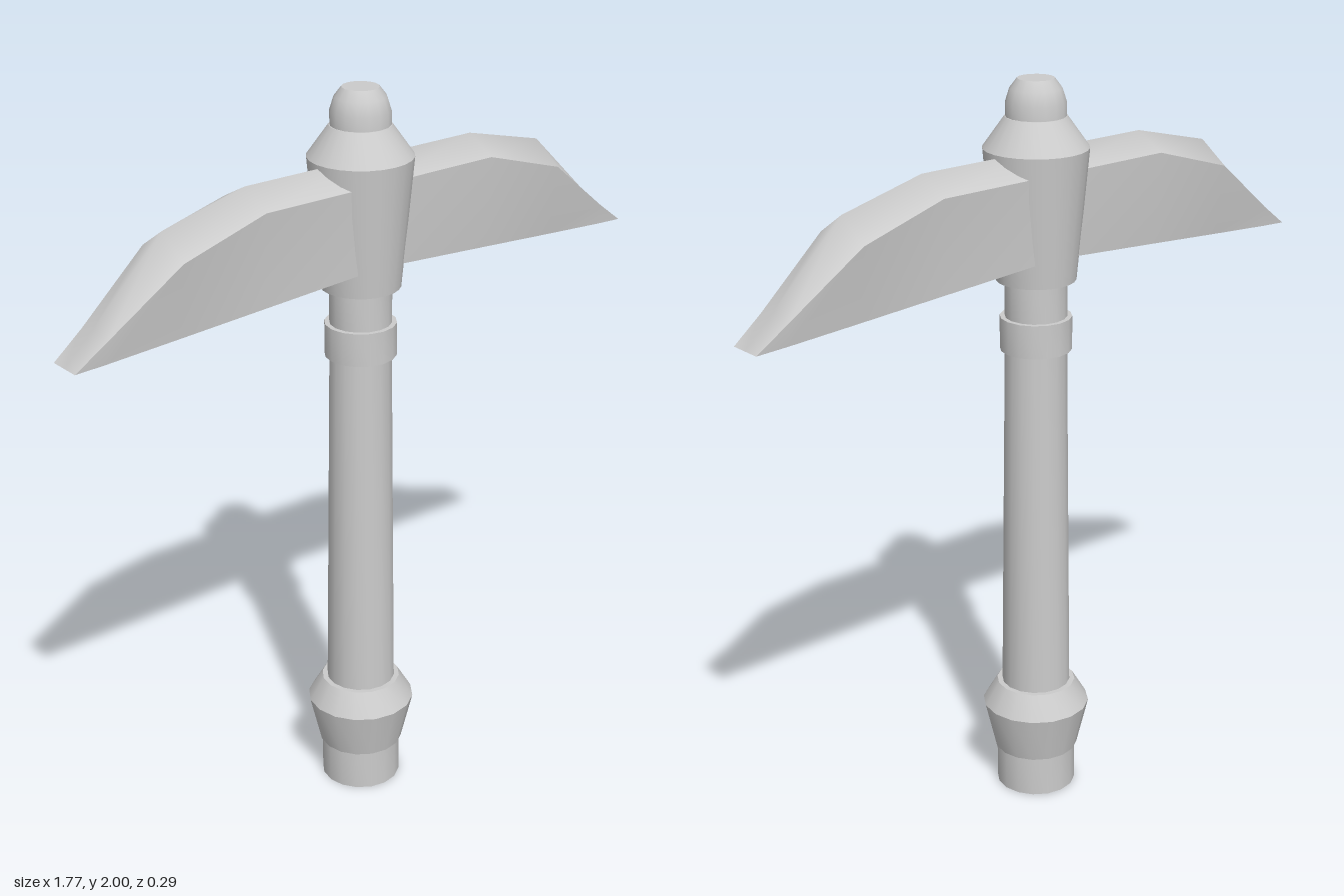
import * as THREE from 'three';
import { toCreasedNormals, mergeGeometries } from 'three/addons/utils/BufferGeometryUtils.js';

const material = new THREE.MeshStandardMaterial({ color: 0xcccccc });

// Turned part from [radius, y] points, closed at both ends
function turned(name, sides, profile) {
  const pts = [[0, profile[0][1]], ...profile, [0, profile[profile.length - 1][1]]];
  const geo = new THREE.LatheGeometry(pts.map(([r, y]) => new THREE.Vector2(r, y)), sides);
  const mesh = new THREE.Mesh(toCreasedNormals(geo, 0.5), material);
  mesh.name = name;
  return mesh;
}

// Surface through rows of points, smooth within itself
function strip(rows) {
  const n = rows[0].length;
  const index = [];
  for (let i = 0; i < rows.length - 1; i++) {
    for (let j = 0; j < n - 1; j++) {
      const a = i * n + j, b = a + n;
      index.push(a, a + 1, b, b, a + 1, b + 1);
    }
  }
  const geo = new THREE.BufferGeometry();
  geo.setAttribute('position', new THREE.Float32BufferAttribute(rows.flat(2), 3));
  geo.setIndex(index);
  geo.computeVertexNormals();
  return geo;
}

// Curved pick blade pointing to +x: ridged top, tall sides, sloping underside
function bladeGeometry() {
  // x, ridge y, shoulder y, bottom y, shoulder half width, bottom half width
  const sections = [
    [0.0, 1.815, 1.77, 1.55, 0.087, 0.085],
    [0.36, 1.815, 1.77, 1.522, 0.087, 0.072],
    [0.6, 1.755, 1.697, 1.502, 0.087, 0.061],
    [0.8, 1.56, 1.542, 1.486, 0.056, 0.052],
    [0.885, 1.48, 1.48, 1.48, 0.047, 0.047],
  ];
  const rows = (pick) => strip(sections.map(pick));
  return mergeGeometries([
    rows(([x, r, s, , w]) => [[x, s, -w], [x, r, 0], [x, s, w]]),
    rows(([x, , s, b, w, v]) => [[x, s, w], [x, b, v]]),
    rows(([x, , s, b, w, v]) => [[x, b, -v], [x, s, -w]]),
    rows(([x, , , b, , v]) => [[x, b, v], [x, b, -v]]),
  ]);
}

export function createModel() {
  const model = new THREE.Group();
  model.name = 'pickaxe';

  // Shaft and its fittings
  const shaft = new THREE.Group();
  shaft.name = 'shaft';
  shaft.position.x = -0.004;
  shaft.add(
    turned('buttEnd', 16, [[0.109, 0], [0.109, 0.13]]),
    turned('pommel', 16, [[0.115, 0.115], [0.147, 0.25], [0.108, 0.315]]),
    turned('handle', 16, [[0.094, 0.3], [0.082, 1.3]]),
    turned('collar', 16, [[0.095, 1.29], [0.095, 1.38]]),
    turned('neck', 16, [[0.082, 1.37], [0.082, 1.5]]),
    turned('headSocket', 24, [[0.105, 1.48], [0.137, 1.825], [0.08, 1.905]]),
    turned('topCap', 16, [[0.078, 1.89], [0.078, 1.94], [0.067, 1.975], [0.048, 2.0]]),
  );
  model.add(shaft);

  // Two opposite blades
  const geo = bladeGeometry();
  for (const [name, angle] of [['leftBlade', 0], ['rightBlade', Math.PI]]) {
    const blade = new THREE.Mesh(geo, material);
    blade.name = name;
    blade.rotation.y = angle;
    model.add(blade);
  }
  return model;
}
